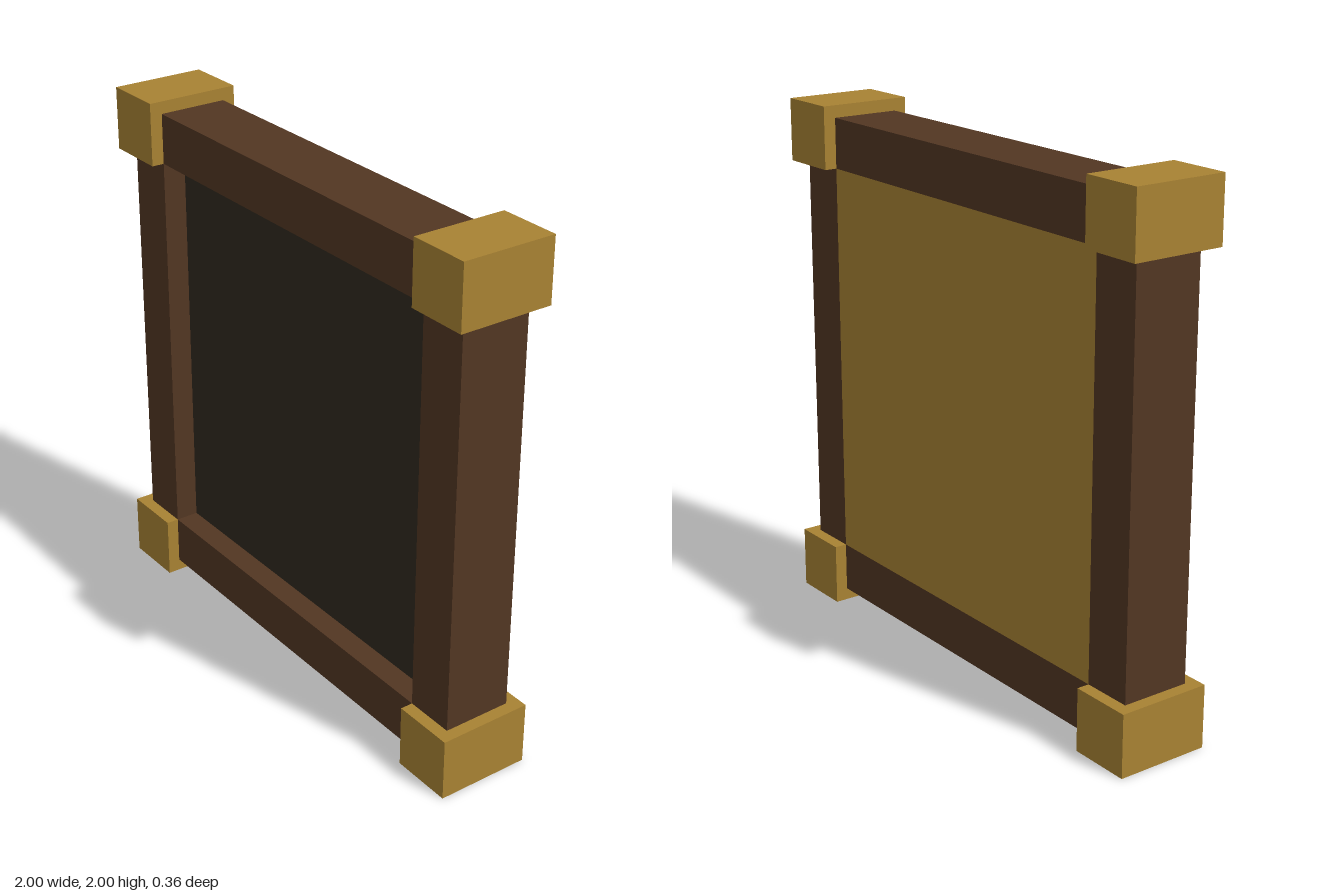
import * as THREE from 'three';

const INNER = 0.762; // half size of the opening
const OUTER = 0.953; // outer face of the rails
const DEPTH = 0.266; // rail depth
const MID = 1;       // height of the centre

const material = (color) => new THREE.MeshStandardMaterial({ color, flatShading: true });

export function createModel() {
  const group = new THREE.Group();
  const gold = material(0xa88233);
  const wood = material(0x523622);
  const slate = material(0x30291f);

  const box = (name, size, position, mat) => {
    const mesh = new THREE.Mesh(new THREE.BoxGeometry(...size), mat);
    mesh.name = name;
    mesh.position.set(...position);
    group.add(mesh);
  };

  const thick = OUTER - INNER;
  const railMid = (OUTER + INNER) / 2;
  const corner = 1 - INNER;
  const cornerMid = (1 + INNER) / 2;

  for (const s of [-1, 1]) {
    // Rails and posts between the corner blocks
    box(s > 0 ? 'topRail' : 'bottomRail', [2 * INNER, thick, DEPTH], [0, MID + s * railMid, 0], wood);
    box(s > 0 ? 'leftPost' : 'rightPost', [thick, 2 * INNER, DEPTH], [s * railMid, MID, 0], wood);
    // Corner blocks
    for (const t of [-1, 1]) {
      const name = (t > 0 ? 'top' : 'bottom') + (s > 0 ? 'Left' : 'Right') + 'Corner';
      box(name, [corner, corner, 0.362], [s * cornerMid, MID + t * cornerMid, 0], gold);
    }
  }

  // Recessed dark front panel and backing flush with the rear of the frame
  const front = 0.043, seam = -0.04, back = -DEPTH / 2;
  box('frontPanel', [2 * INNER, 2 * INNER, front - seam], [0, MID, (front + seam) / 2], slate);
  box('backPanel', [2 * INNER, 2 * INNER, seam - back], [0, MID, (seam + back) / 2], gold);

  return group;
}
